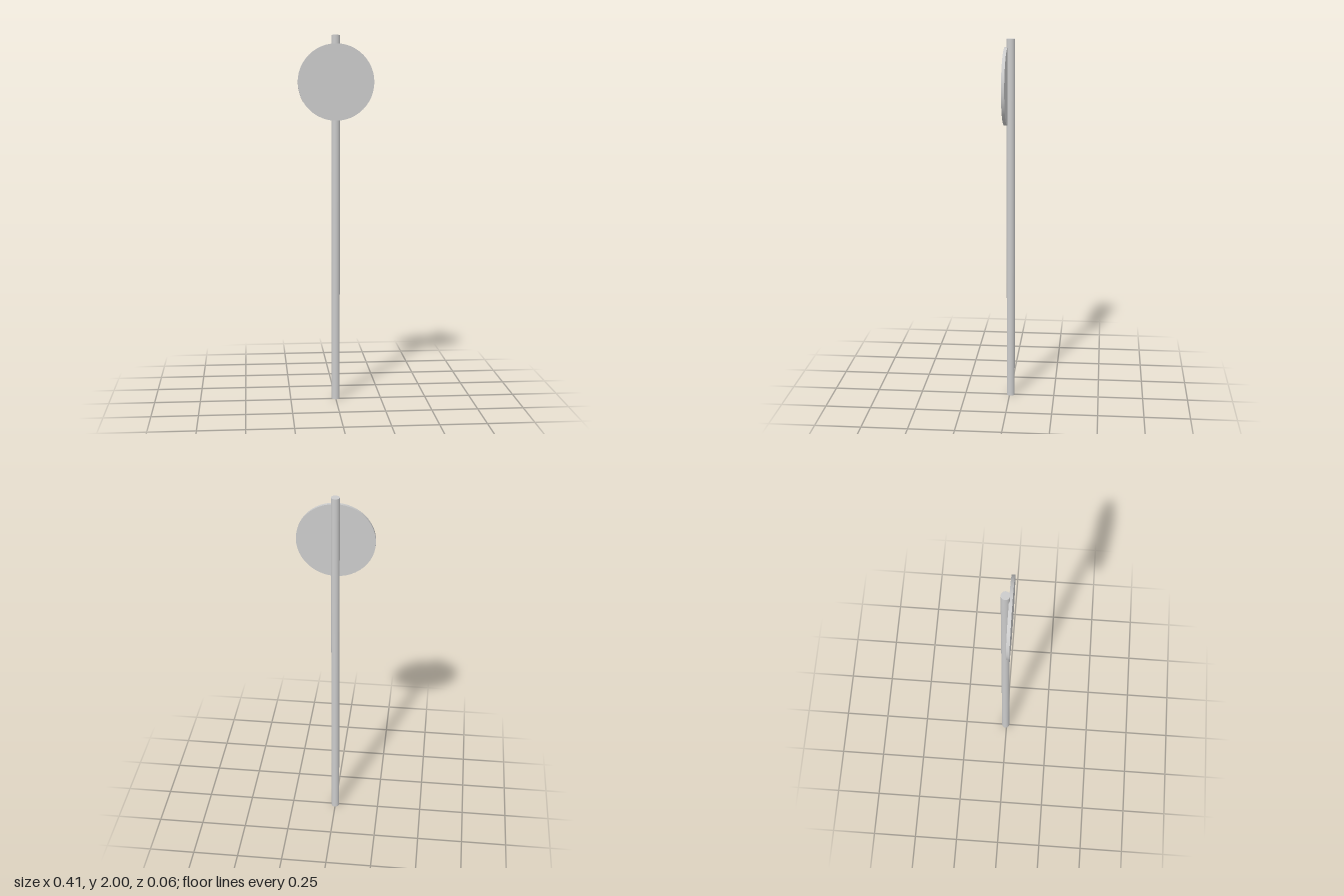
import * as THREE from 'three';

const POLE_RADIUS = 0.0225;
const POLE_HEIGHT = 2;
const DISC_RADIUS = 0.205;
const DISC_THICKNESS = 0.017;

export function createModel() {
  const model = new THREE.Group();
  model.name = 'roundSignPost';
  const material = new THREE.MeshStandardMaterial({ color: 0xcccccc });

  // Upright pole, set slightly behind the centre
  const pole = new THREE.Mesh(
    new THREE.CylinderGeometry(POLE_RADIUS, POLE_RADIUS, POLE_HEIGHT, 24), material);
  pole.name = 'pole';
  pole.position.set(0, POLE_HEIGHT / 2, -0.006);
  model.add(pole);

  // Round sign plate, turned to face forward and sunk a little into the pole
  const disc = new THREE.Mesh(
    new THREE.CylinderGeometry(DISC_RADIUS, DISC_RADIUS, DISC_THICKNESS, 48), material);
  disc.name = 'signPlate';
  disc.rotation.x = Math.PI / 2;
  disc.position.set(0, 1.75, 0.0195);
  model.add(disc);

  return model;
}
